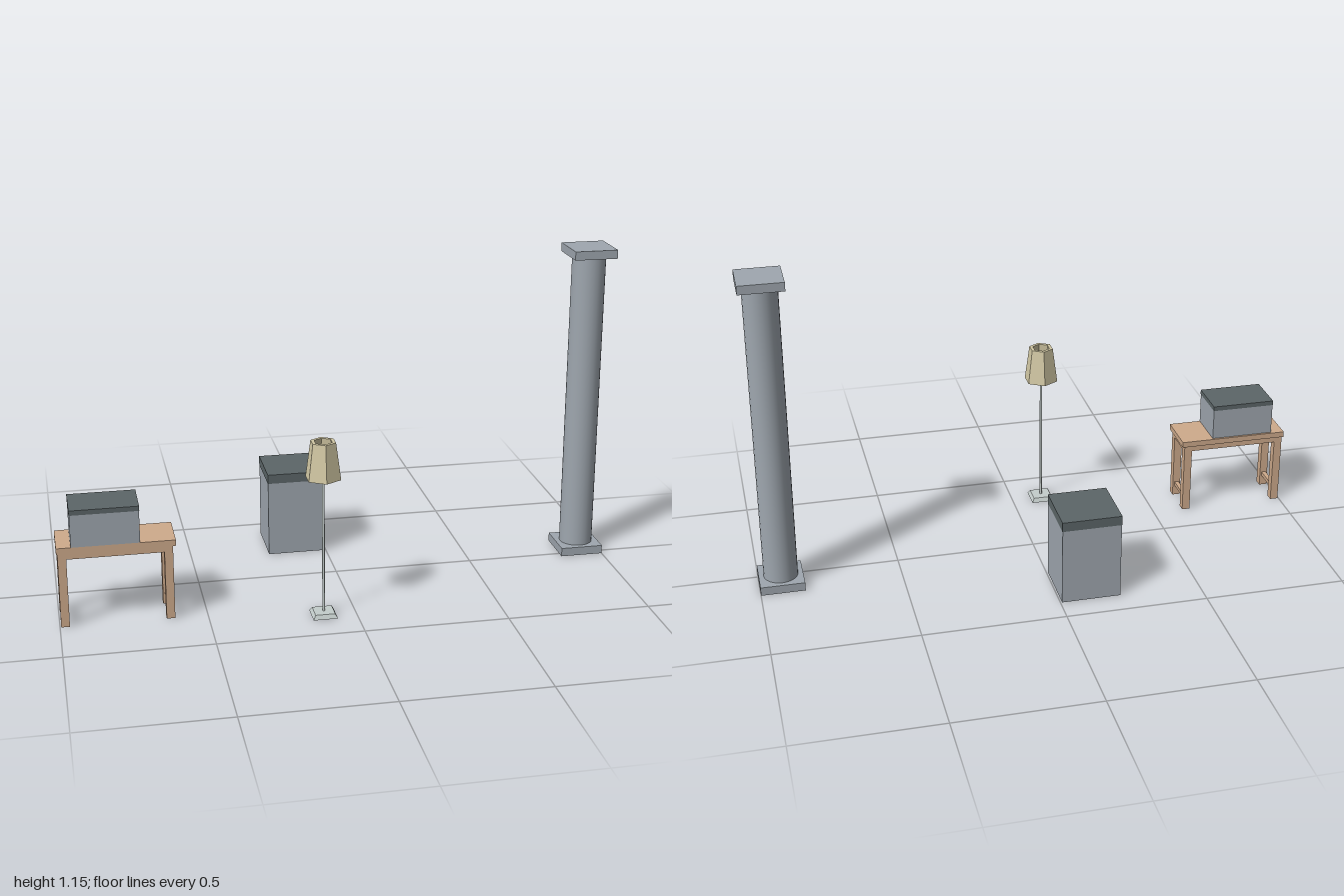
import * as THREE from 'three';

const mat = (name, color, extra = {}) => {
  const m = new THREE.MeshStandardMaterial({ color, ...extra });
  m.name = name;
  return m;
};

export function createModel() {
  const stone = mat('grey stone', 0x9fa7af);
  const slate = mat('dark slate', 0x5c6668);
  const wood = mat('light wood', 0xcfab8c);
  const cream = mat('cream shade', 0xd2c8a4, { flatShading: true });
  const metal = mat('pale metal', 0xc4cdcb);
  const metalFlat = metal;

  const model = new THREE.Group();
  const group = (name) => {
    const g = new THREE.Group();
    g.name = name;
    model.add(g);
    return g;
  };
  const add = (parent, name, geometry, material, x = 0, y = 0, z = 0) => {
    const mesh = new THREE.Mesh(geometry, material);
    mesh.name = name;
    mesh.position.set(x, y, z);
    parent.add(mesh);
    return mesh;
  };
  // Box given by its limits on each axis
  const block = (parent, name, material, [x0, x1], [y0, y1], [z0, z1]) =>
    add(parent, name, new THREE.BoxGeometry(x1 - x0, y1 - y0, z1 - z0), material,
      (x0 + x1) / 2, (y0 + y1) / 2, (z0 + z1) / 2);

  // Column: square plinth, round shaft, square capital
  const column = group('column');
  const cx = [0.845, 1.0], cz = [-0.128, 0.027];
  block(column, 'plinth', stone, cx, [0, 0.031], cz);
  block(column, 'capital', stone, cx, [1.119, 1.15], cz);
  add(column, 'shaft', new THREE.CylinderGeometry(0.06, 0.06, 1.088, 24, 1, true), stone,
    0.9225, 0.575, -0.0505);

  // Pedestal with a dark lid
  const pedestal = group('pedestal');
  block(pedestal, 'pedestalBody', stone, [-0.214, -0.006], [0, 0.279], [-0.41, -0.202]);
  block(pedestal, 'pedestalLid', slate, [-0.215, -0.005], [0.279, 0.313], [-0.411, -0.201]);

  // Side table
  const table = group('table');
  block(table, 'tableTop', wood, [-1.0, -0.602], [0.267, 0.288], [0.118, 0.28]);
  block(table, 'apron', wood, [-0.996, -0.612], [0.245, 0.267], [0.125, 0.276]);
  for (const [x0, x1] of [[-0.996, -0.967], [-0.641, -0.612]]) {
    for (const z of [[0.125, 0.155], [0.246, 0.276]]) {
      block(table, 'leg', wood, [x0, x1], [0, 0.245], z);
    }
    const mid = (x0 + x1) / 2;
    block(table, 'stretcher', wood, [mid - 0.008, mid + 0.008], [0.04, 0.055], [0.155, 0.246]);
  }

  // Chest standing on the table
  const chest = group('chest');
  block(chest, 'chestBody', stone, [-0.951, -0.721], [0.288, 0.402], [0.126, 0.28]);
  block(chest, 'chestLid', slate, [-0.952, -0.72], [0.402, 0.419], [0.125, 0.281]);

  // Floor lamp
  const lamp = group('lamp');
  lamp.position.set(-0.112, 0, 0.346);
  // Square tapered foot, made from a four-sided cylinder
  const foot = new THREE.CylinderGeometry(0.034 * Math.SQRT2, 0.042 * Math.SQRT2, 0.015, 4)
    .rotateY(Math.PI / 4).toNonIndexed();
  foot.computeVertexNormals();
  add(lamp, 'lampFoot', foot, metalFlat, 0, 0.0075, 0);
  add(lamp, 'lampPole', new THREE.CylinderGeometry(0.0045, 0.0045, 0.51, 10), metal, 0, 0.265, 0);
  // Hexagonal shade with a wall thickness
  const profile = [[0.052, 0.498], [0.063, 0.498], [0.045, 0.627], [0.032, 0.627], [0.052, 0.498]]
    .map(([r, y]) => new THREE.Vector2(r, y));
  add(lamp, 'lampShade', new THREE.LatheGeometry(profile, 6), cream);

  return model;
}
